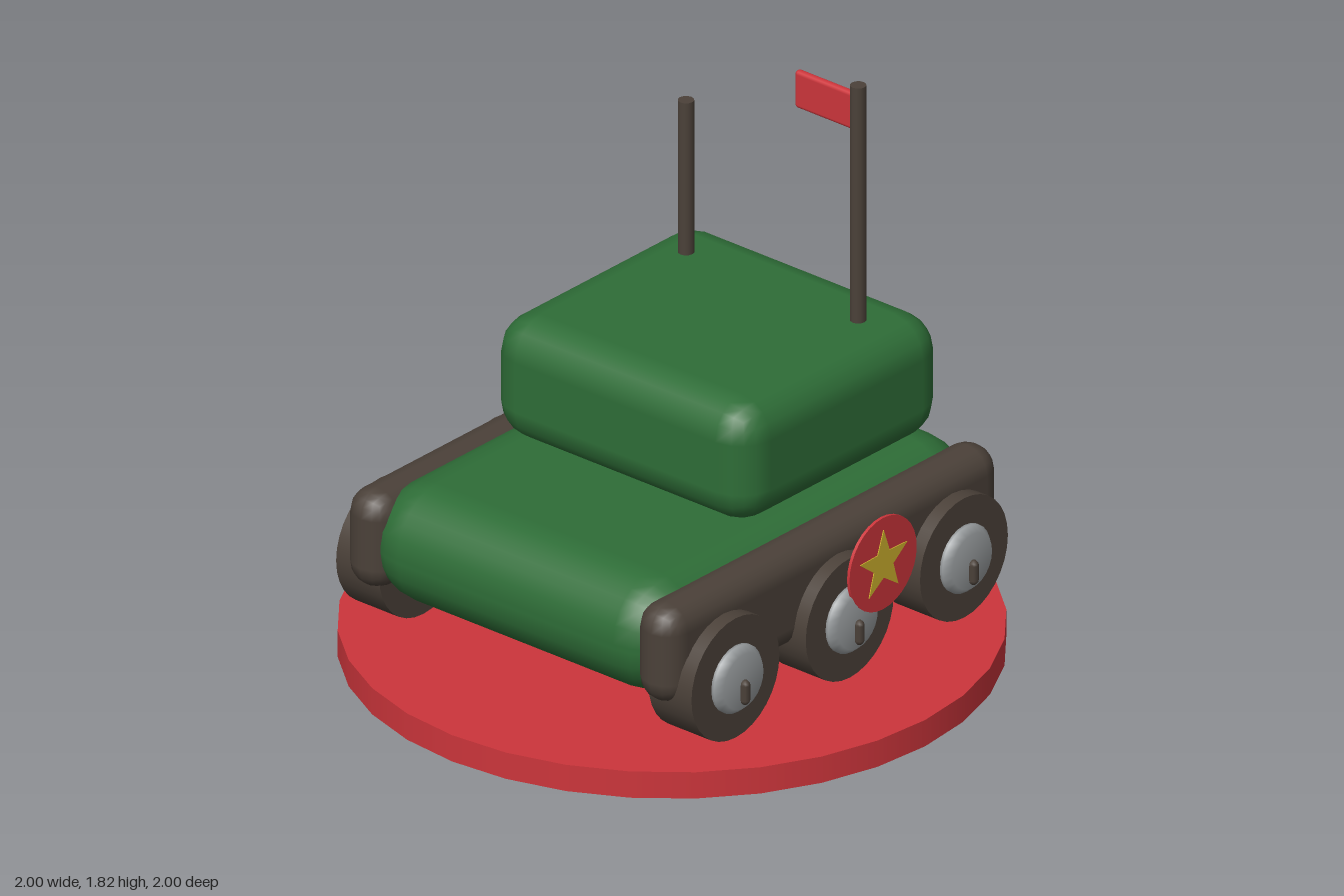
import * as THREE from 'three';
import { RoundedBoxGeometry } from 'three/addons/geometries/RoundedBoxGeometry.js';

const mat = (name, color) => new THREE.MeshStandardMaterial({ name, color });

export function createModel() {
  const red = mat('red', 0xcc353b);
  const green = mat('green', 0x2e6d37);
  const brown = mat('darkBrown', 0x4b4139);
  const grey = mat('grey', 0x999d9f);
  const yellow = mat('yellow', 0xcdb02d);

  const model = new THREE.Group();
  model.name = 'tankOnStand';
  const add = (name, geometry, material, x, y, z, parent = model) => {
    const mesh = new THREE.Mesh(geometry, material);
    mesh.name = name;
    mesh.position.set(x, y, z);
    parent.add(mesh);
    return mesh;
  };

  // Round stand
  add('stand', new THREE.CylinderGeometry(1, 1, 0.088, 32), red, 0, 0.044, 0);

  // Body
  add('hull', new RoundedBoxGeometry(1.22, 0.385, 1.52, 3, 0.185), green, 0, 0.435, 0);
  add('turret', new RoundedBoxGeometry(1.03, 0.405, 0.93, 2, 0.12), green, 0, 0.833, -0.205);

  // Track guards and three wheels on each side
  const guardGeo = new RoundedBoxGeometry(0.165, 0.325, 1.52, 2, 0.08);
  const wheelGeo = new THREE.CylinderGeometry(0.2, 0.2, 0.17, 32).rotateZ(-Math.PI / 2);
  const hubProfile = [[0, -0.02], [0.11, -0.02], [0.11, 0.01], [0.09, 0.033], [0, 0.033]];
  const hubGeo = new THREE.LatheGeometry(hubProfile.map(p => new THREE.Vector2(...p)), 24)
    .rotateZ(-Math.PI / 2);
  const pinGeo = new THREE.CapsuleGeometry(0.016, 0.05, 3, 8);
  for (const side of [1, -1]) {
    const label = side > 0 ? 'left' : 'right';
    add(label + 'TrackGuard', guardGeo, brown, side * 0.573, 0.443, 0);
    for (const z of [0.52, 0, -0.52]) {
      const wheel = new THREE.Group();
      wheel.name = label + 'Wheel';
      wheel.position.set(side * 0.702, 0.33, z);
      wheel.rotation.y = side > 0 ? 0 : Math.PI;
      model.add(wheel);
      add('tyre', wheelGeo, brown, -0.085, 0, 0, wheel);
      add('hubCap', hubGeo, grey, 0, 0, 0, wheel);
      add('hubPin', pinGeo, brown, 0.038, -0.035, 0, wheel);
    }
  }

  // Aerials
  const aerial = (name, x, top) => add(name,
    new THREE.CylinderGeometry(0.025, 0.025, top - 1, 12), brown, x, (top + 1) / 2, -0.45);
  aerial('rightAerial', -0.335, 1.545);
  aerial('leftAerial', 0.345, 1.823);
  add('flag', new RoundedBoxGeometry(0.24, 0.125, 0.026, 2, 0.012), red, 0.222, 1.733, -0.45);

  // Star badge on the left side
  const badge = new THREE.Group();
  badge.name = 'badge';
  badge.position.set(0.731, 0.48, -0.113);
  badge.rotation.y = Math.PI / 2;
  model.add(badge);
  add('badgeDisc', new THREE.CylinderGeometry(0.153, 0.153, 0.01, 32).rotateX(Math.PI / 2),
    red, 0, 0, 0, badge);
  const star = new THREE.Shape();
  for (let i = 0; i < 10; i++) {
    const r = i % 2 ? 0.046 : 0.113;
    const a = Math.PI / 2 + i * Math.PI / 5;
    star[i ? 'lineTo' : 'moveTo'](r * Math.cos(a), r * Math.sin(a));
  }
  star.closePath();
  add('badgeStar', new THREE.ExtrudeGeometry(star, { depth: 0.004, bevelEnabled: false }),
    yellow, 0, 0, 0.004, badge);

  return model;
}
